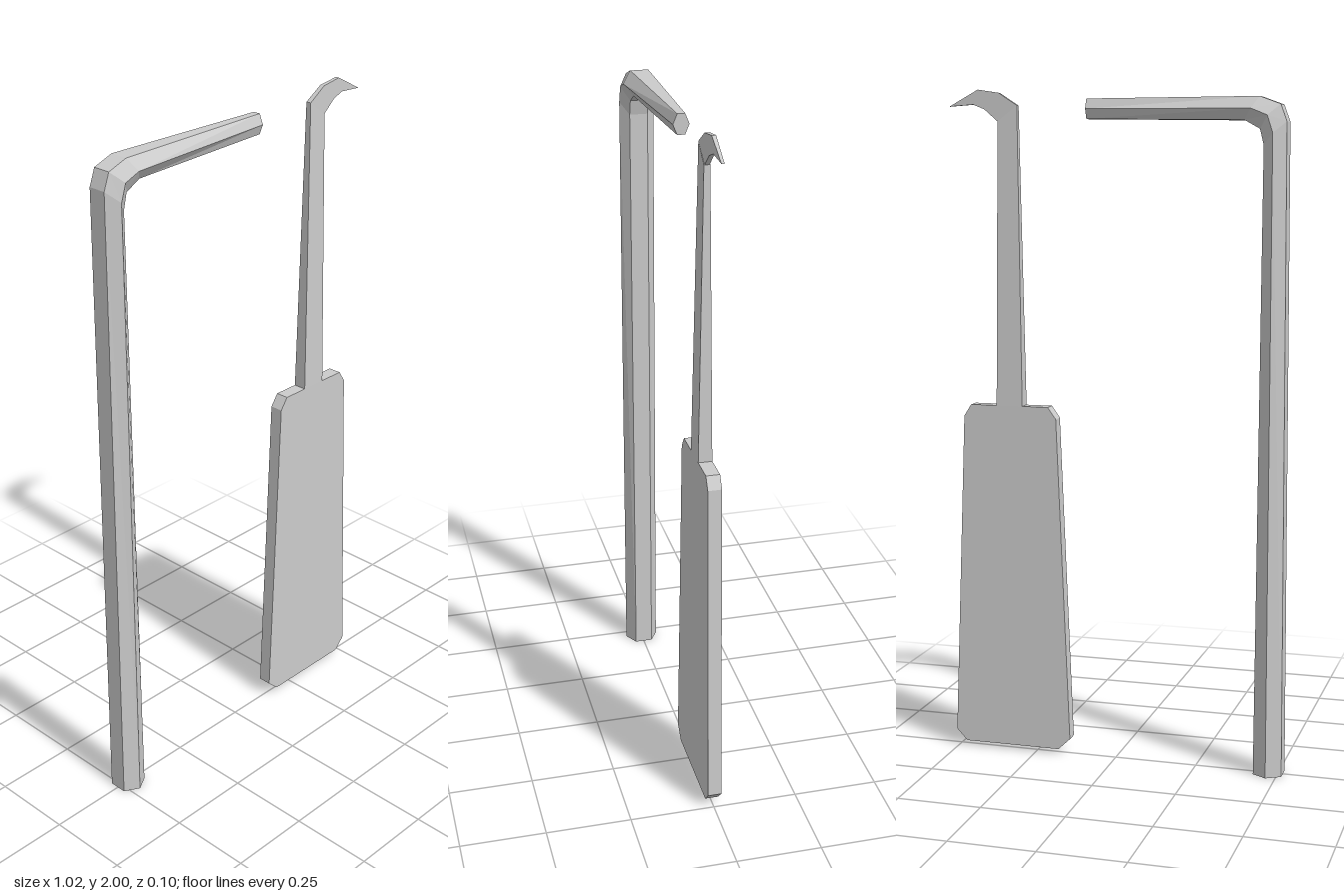
import * as THREE from 'three';

const material = new THREE.MeshStandardMaterial({ color: 0xcccccc, flatShading: true, side: THREE.DoubleSide });

function addMesh(parent, name, geometry) {
  const mesh = new THREE.Mesh(geometry, material);
  mesh.name = name;
  parent.add(mesh);
}

// Joins equal-sized rings of points into a closed, capped bar
function loft(rings) {
  const n = rings[0].length, last = (rings.length - 1) * n, index = [];
  for (let r = 0; r < rings.length - 1; r++) {
    for (let i = 0; i < n; i++) {
      const a = r * n + i, b = r * n + (i + 1) % n;
      index.push(a, a + n, b, b, a + n, b + n);
    }
  }
  for (let i = 1; i < n - 1; i++) {
    index.push(0, i, i + 1, last, last + i + 1, last + i);
  }
  const g = new THREE.BufferGeometry();
  g.setAttribute('position', new THREE.Float32BufferAttribute(rings.flat(2), 3));
  g.setIndex(index);
  const flat = g.toNonIndexed();
  flat.computeVertexNormals();
  return flat;
}

// Flat plate whose half thickness follows a rule of x and y
function plate(points, halfThickness) {
  const shape = new THREE.Shape(points.map(([x, y]) => new THREE.Vector2(x, y)));
  const g = new THREE.ExtrudeGeometry(shape, { depth: 1, bevelEnabled: false });
  const p = g.attributes.position;
  for (let i = 0; i < p.count; i++) {
    const side = p.getZ(i) > 0.5 ? 1 : -1;
    p.setZ(i, side * halfThickness(p.getX(i), p.getY(i)));
  }
  g.computeVertexNormals();
  return g;
}

export function createModel() {
  const group = new THREE.Group();

  // Hexagonal bent bar: outer, middle and inner points, half depth at the middle and at the flats
  const sections = [
    [[-0.515, 0], [-0.472, 0], [-0.43, 0], 0.052, 0.027],
    [[-0.503, 1.90], [-0.468, 1.868], [-0.438, 1.835], 0.052, 0.027],
    [[-0.485, 1.948], [-0.452, 1.917], [-0.427, 1.88], 0.052, 0.027],
    [[-0.425, 1.97], [-0.405, 1.936], [-0.382, 1.905], 0.052, 0.027],
    [[0.085, 1.97], [0.085, 1.941], [0.085, 1.912], 0.023, 0.011],
  ];
  const rings = sections.map(([o, m, i, zm, zf]) => [
    [...o, zf], [...m, zm], [...i, zf], [...i, -zf], [...m, -zm], [...o, -zf],
  ]);
  addMesh(group, 'bentHexBar', loft(rings));

  // Hooked tool: wide handle plate with clipped corners
  const tool = new THREE.Group();
  tool.name = 'hookedTool';
  group.add(tool);
  addMesh(tool, 'handle', plate([
    [0.14, 0.05], [0.177, 0.015], [0.475, 0.015], [0.508, 0.05],
    [0.47, 1.035], [0.448, 1.07], [0.205, 1.07], [0.18, 1.035],
  ], () => 0.02));

  // Shaft thins towards the top
  addMesh(tool, 'shaft', plate(
    [[0.285, 1.07], [0.366, 1.07], [0.358, 1.907], [0.298, 1.953]],
    (x, y) => 0.02 - 0.012 * (y - 1.07) / 0.88));

  // Curved hook thins towards its point
  addMesh(tool, 'hook', plate([
    [0.298, 1.953], [0.358, 1.907], [0.40, 1.943], [0.435, 1.957],
    [0.51, 1.952], [0.42, 2.0], [0.355, 1.99],
  ], (x) => 0.008 - 0.004 * (x - 0.298) / 0.212));

  return group;
}
